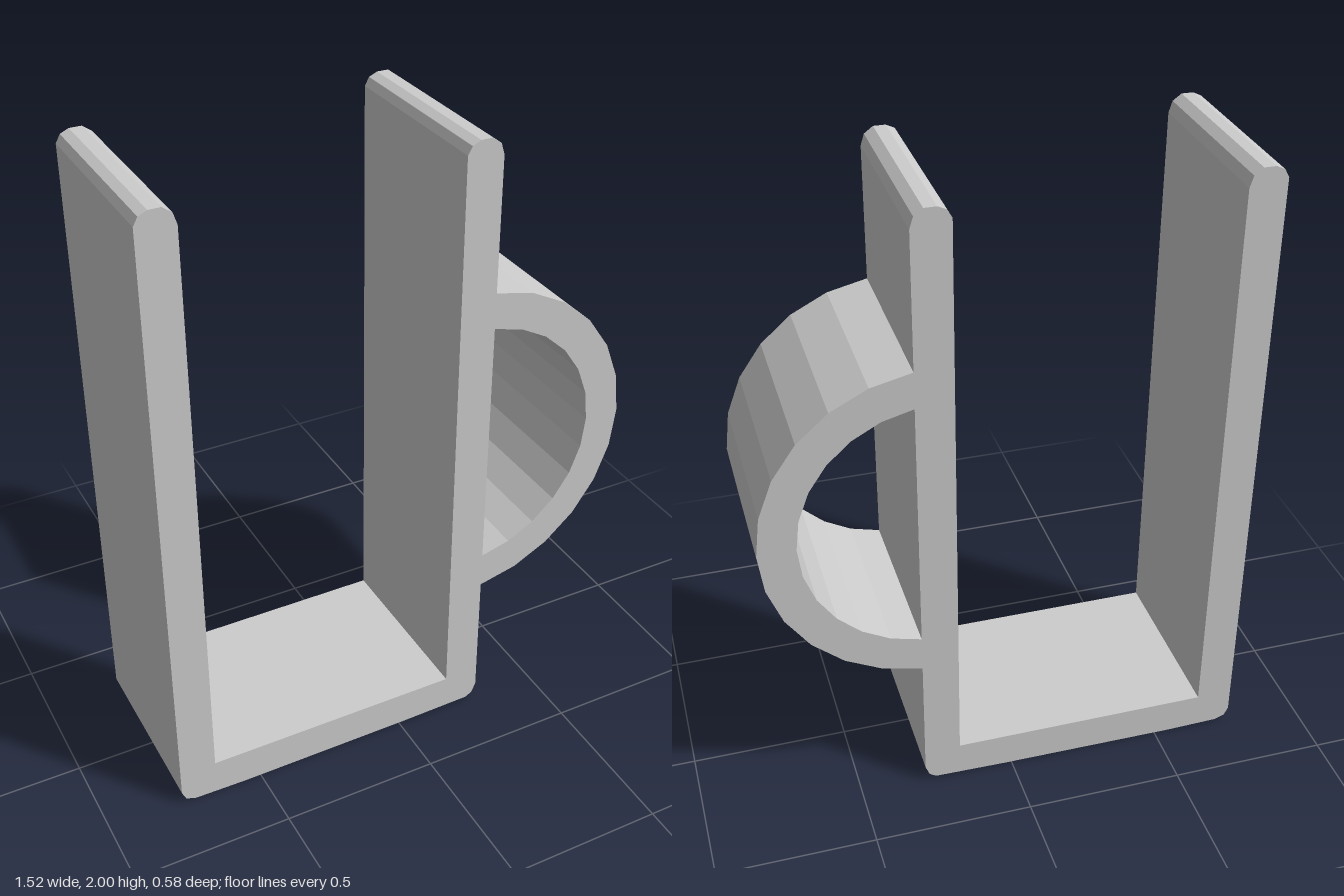
import * as THREE from 'three';

const DEPTH = 0.585;

// Points on a circular arc, evenly stepped from angle a to angle b
function arc(cx, cy, r, a, b, steps) {
  return Array.from({ length: steps + 1 }, (_, i) => {
    const t = a + ((b - a) * i) / steps;
    return new THREE.Vector2(cx + r * Math.cos(t), cy + r * Math.sin(t));
  });
}

// Rounded tip of an upright, from its right edge over to its left edge
function tip(left) {
  return [[0.115, 1.945], [0.104, 1.98], [0.077, 2], [0.04, 2], [0.014, 1.988], [0, 1.963]]
    .map(([x, y]) => new THREE.Vector2(left + x, y));
}

const points = list => list.map(([x, y]) => new THREE.Vector2(x, y));

export function createModel() {
  const group = new THREE.Group();
  group.name = 'hookClip';

  const grey = new THREE.MeshStandardMaterial({ color: 0xcccccc, flatShading: true });
  grey.name = 'light grey';

  // The loop is centred on the right upright and cut off at its outer face
  const cx = 0.232, cy = 1, face = 0.29, outerR = 0.528, innerR = 0.413;
  const outerEnd = Math.acos((face - cx) / outerR);
  const innerEnd = Math.acos((face - cx) / innerR);

  // U-shaped outline with the loop's outer edge, running anticlockwise
  const outline = new THREE.Shape([
    ...points([[-0.765, 0.045], [-0.752, 0.016], [-0.72, 0.004], [-0.55, 0],
      [0.02, 0.003], [0.255, 0.008], [0.277, 0.022], [0.29, 0.055]]),
    ...arc(cx, cy, outerR, -outerEnd, outerEnd, 12),
    ...tip(0.175),
    ...points([[0.175, 0.12], [-0.65, 0.12]]),
    ...tip(-0.765),
  ]);

  // D-shaped opening inside the loop
  outline.holes.push(new THREE.Path(arc(cx, cy, innerR, innerEnd, -innerEnd, 12)));

  const geometry = new THREE.ExtrudeGeometry(outline, { depth: DEPTH, bevelEnabled: false });
  geometry.translate(0, 0, -DEPTH / 2);
  const body = new THREE.Mesh(geometry, grey);
  body.name = 'clipWithLoop';
  group.add(body);
  return group;
}
